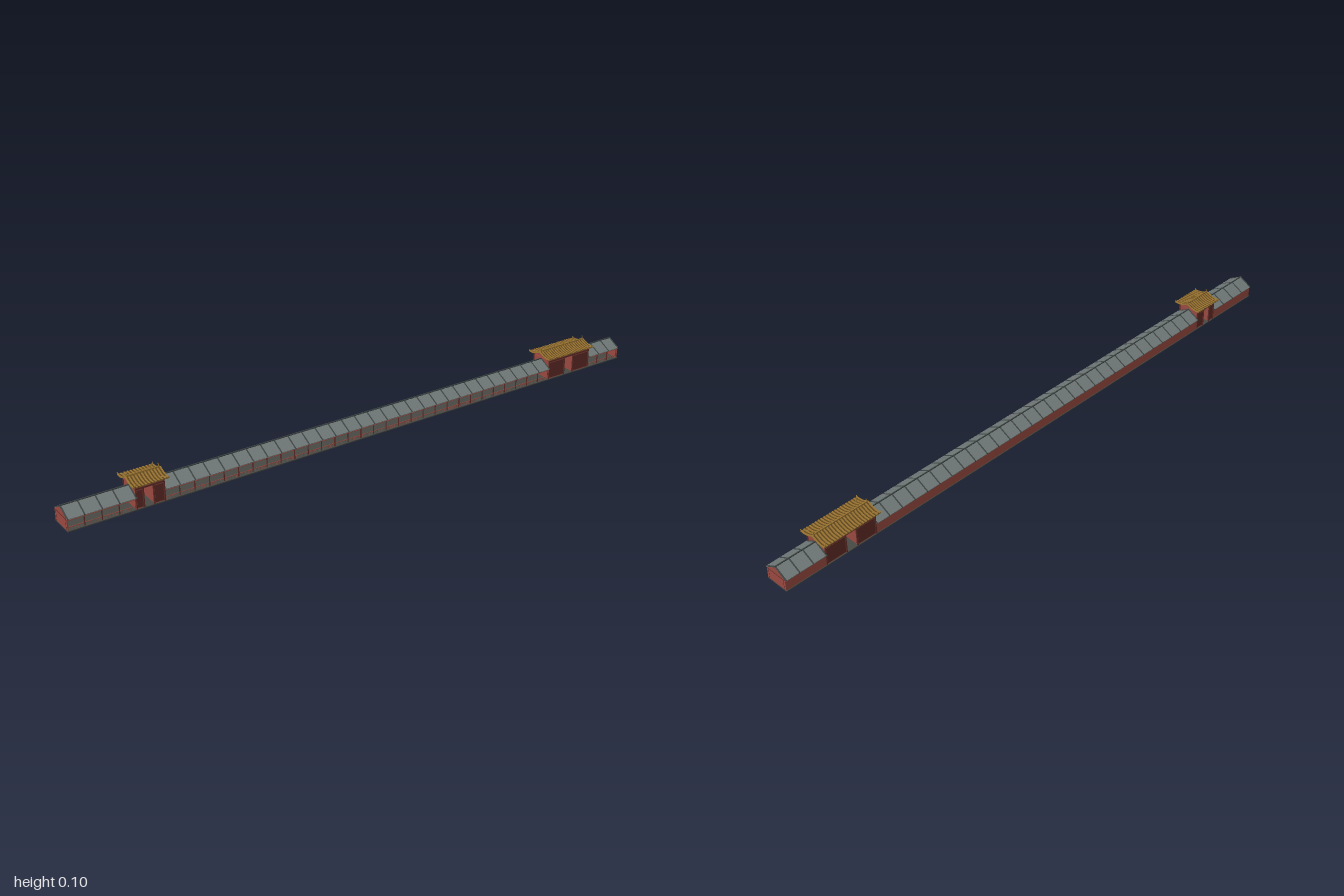
import * as THREE from 'three';
import { mergeGeometries } from 'three/addons/utils/BufferGeometryUtils.js';

const mat = (color) => new THREE.MeshStandardMaterial({ color, side: THREE.DoubleSide });
const red = mat(0x984840), darkRed = mat(0x5e2a25), stone = mat(0x474843);
const tile = mat(0x6f7977), tileDark = mat(0x3f4645), gold = mat(0x9a7430), goldDark = mat(0x60461c);

// Box given by its limits
function box(x0, x1, y0, y1, z0, z1) {
  return new THREE.BoxGeometry(x1 - x0, y1 - y0, z1 - z0)
    .translate((x0 + x1) / 2, (y0 + y1) / 2, (z0 + z1) / 2);
}

// Cross-section of [z, y] points swept along x
function sweep(points, x0, x1) {
  const shape = new THREE.Shape(points.map(([z, y]) => new THREE.Vector2(-z, y)));
  return new THREE.ExtrudeGeometry(shape, { depth: x1 - x0, bevelEnabled: false })
    .rotateY(Math.PI / 2).translate(x0, 0, 0);
}

function add(group, name, geometries, material) {
  const list = geometries.map((g) => (g.index ? g.toNonIndexed() : g));
  const mesh = new THREE.Mesh(mergeGeometries(list), material);
  mesh.name = name;
  group.add(mesh);
}

// Closed band under a symmetric roof line given from ridge to eave
function roofBand(half, t, lift = 0) {
  const top = [...half].reverse().map(([z, y]) => [-z, y + lift]).concat(half.slice(1).map(([z, y]) => [z, y + lift]));
  return top.concat([...top].reverse().map(([z, y]) => [z, y - t]));
}

// Gallery with a plain back wall, colonnaded front and tiled ridge roof
function gallery(x0, x1) {
  const g = new THREE.Group();
  g.name = 'gallery';
  const slope = [[0, 0.062], [0.042, 0.039]];
  const len = x1 - x0, bays = Math.round(len / 0.047), step = len / bays;

  add(g, 'backWall', [box(x0, x1, 0.003, 0.039, -0.038, -0.034)], red);
  const gable = [[-0.038, 0.003], [0.038, 0.003], [0.038, 0.039], [0, 0.06], [-0.038, 0.039]];
  add(g, 'endWalls', [sweep(gable, x0, x0 + 0.003), sweep(gable, x1 - 0.003, x1)], red);

  // Trim on the end walls
  const trim = [];
  for (const x of [x0 - 0.0004, x1 - 0.0026]) {
    trim.push(box(x, x + 0.003, 0.036, 0.038, -0.037, 0.037));
    for (const z of [-0.031, 0.031]) trim.push(box(x, x + 0.003, 0.003, 0.037, z - 0.0006, z + 0.0006));
  }
  add(g, 'endTrim', trim, darkRed);

  // Front posts, low rail and beam
  const posts = [], rails = [];
  for (let i = 0; i <= bays; i++) {
    const x = Math.min(Math.max(x0 + i * step, x0 + 0.002), x1 - 0.002);
    posts.push(new THREE.CylinderGeometry(0.0018, 0.0018, 0.036, 8).translate(x, 0.021, 0.035));
    if (i === bays) continue;
    for (let k = 1; k < 6; k++) {
      const bx = x0 + (i + k / 6) * step;
      rails.push(box(bx - 0.0004, bx + 0.0004, 0.003, 0.012, 0.0345, 0.0355));
    }
  }
  rails.push(box(x0, x1, 0.011, 0.0125, 0.034, 0.036), box(x0, x1, 0.031, 0.0325, 0.034, 0.036));
  add(g, 'posts', posts, darkRed);
  add(g, 'railing', rails, red);
  add(g, 'frontBeam', [box(x0, x1, 0.035, 0.039, 0.033, 0.037)], darkRed);

  // Roof with tile ribs, heavier seams at each bay
  add(g, 'roof', [sweep(roofBand(slope, 0.002), x0, x1)], tile);
  const ribs = [], seams = [];
  const rib = (x, w, h) => sweep(roofBand(slope, 0.002 + h, h), x - w / 2, x + w / 2);
  for (let i = 0; i <= bays * 5; i++) {
    const x = Math.min(Math.max(x0 + i * step / 5, x0 + 0.002), x1 - 0.002);
    if (i % 5) ribs.push(rib(x, 0.0022, 0.0008));
    else seams.push(rib(x, 0.004, 0.001));
  }
  add(g, 'tileRibs', ribs, tile);
  add(g, 'roofSeams', seams, tileDark);
  add(g, 'ridge', [box(x0, x1, 0.061, 0.0645, -0.0015, 0.0015)], tileDark);
  return g;
}

// Gatehouse: two piers around a passage, under a curved golden roof
function gatehouse(x0, x1, door0, door1) {
  const g = new THREE.Group();
  g.name = 'gatehouse';
  add(g, 'piers', [box(x0, door0, 0.003, 0.064, -0.037, 0.037), box(door1, x1, 0.003, 0.064, -0.037, 0.037)], red);
  const frame = [], panels = [];
  for (const z of [-0.037, 0.037]) {
    for (const x of [x0, door0, door1, x1]) {
      frame.push(new THREE.CylinderGeometry(0.0025, 0.0025, 0.064, 8).translate(x, 0.035, z));
    }
    frame.push(box(x0, x1, 0.061, 0.0655, z - 0.002, z + 0.002));
    for (const [a, b] of [[x0, door0], [door1, x1]]) {
      panels.push(box(a + 0.003, b - 0.003, 0.006, 0.058, z - 0.001, z + 0.001));
    }
  }
  add(g, 'frame', frame, darkRed);
  add(g, 'wallPanels', panels, darkRed);
  add(g, 'ceiling', [box(x0, x1, 0.062, 0.0645, -0.037, 0.037)], red);

  // Sagging roof with an upturned eave
  const r0 = x0 - 0.012, r1 = x1 + 0.012;
  const curve = [[0, 0.087], [0.01, 0.0825], [0.022, 0.0775], [0.035, 0.075], [0.049, 0.0755]];
  add(g, 'roof', [sweep(roofBand(curve, 0.002), r0, r1)], gold);
  const gable = [[-0.03, 0.073], [0.03, 0.073], [0.021, 0.076], [0.01, 0.081], [0, 0.0855], [-0.01, 0.081], [-0.021, 0.076]];
  add(g, 'gables', [sweep(gable, r0 + 0.004, r0 + 0.007), sweep(gable, r1 - 0.007, r1 - 0.004)], red);
  add(g, 'eaveBeams', [-0.038, 0.038].map((z) => box(r0 + 0.004, r1 - 0.004, 0.0705, 0.0735, z - 0.002, z + 0.002)), darkRed);

  // Rounded tile rows and the dark channels between them
  const ribs = [], channels = [], n = Math.round((r1 - r0) / 0.01);
  for (let i = 0; i <= n; i++) {
    const x = r0 + 0.002 + (r1 - r0 - 0.004) * i / n;
    ribs.push(sweep(roofBand(curve, 0.0035, 0.0015), x - 0.002, x + 0.002));
    if (i < n) channels.push(sweep(roofBand(curve, 0.0025, 0.0004), x + 0.003, x + 0.007));
  }
  add(g, 'tileRows', ribs, gold);
  add(g, 'tileChannels', channels, goldDark);

  // Ridge, horned finials and curled corners
  const trim = [box(r0 + 0.005, r1 - 0.005, 0.086, 0.0915, -0.0017, 0.0017)];
  for (const [x, s] of [[r0 + 0.012, -1], [r1 - 0.012, 1]]) {
    const horn = new THREE.CatmullRomCurve3([
      [0, 0.088], [4, 0.091], [6, 0.096], [3, 0.1005]
    ].map(([dx, y]) => new THREE.Vector3(x + s * dx * 0.001, y, 0)));
    trim.push(new THREE.TubeGeometry(horn, 8, 0.0014, 6));
    for (const z of [-1, 1]) {
      const corner = new THREE.CatmullRomCurve3([
        [-6, 0.0765, 0.034], [3, 0.077, 0.042], [9, 0.0775, 0.047], [11, 0.0805, 0.05]
      ].map(([dx, y, cz]) => new THREE.Vector3(x + s * dx * 0.001, y, z * cz)));
      trim.push(new THREE.TubeGeometry(corner, 8, 0.0013, 6));
    }
  }
  add(g, 'ridgeAndFinials', trim, gold);
  return g;
}

export function createModel() {
  const model = new THREE.Group();
  model.name = 'galleryWithGates';
  add(model, 'plinth', [box(-1, 1, 0, 0.003, -0.04, 0.04)], stone);
  const small = [-0.797, -0.712], large = [0.691, 0.863];
  model.add(gallery(-0.9996, small[0]), gallery(small[1], large[0]), gallery(large[1], 0.9996));
  model.add(gatehouse(...small, -0.775, -0.744), gatehouse(...large, 0.757, 0.795));
  return model;
}
